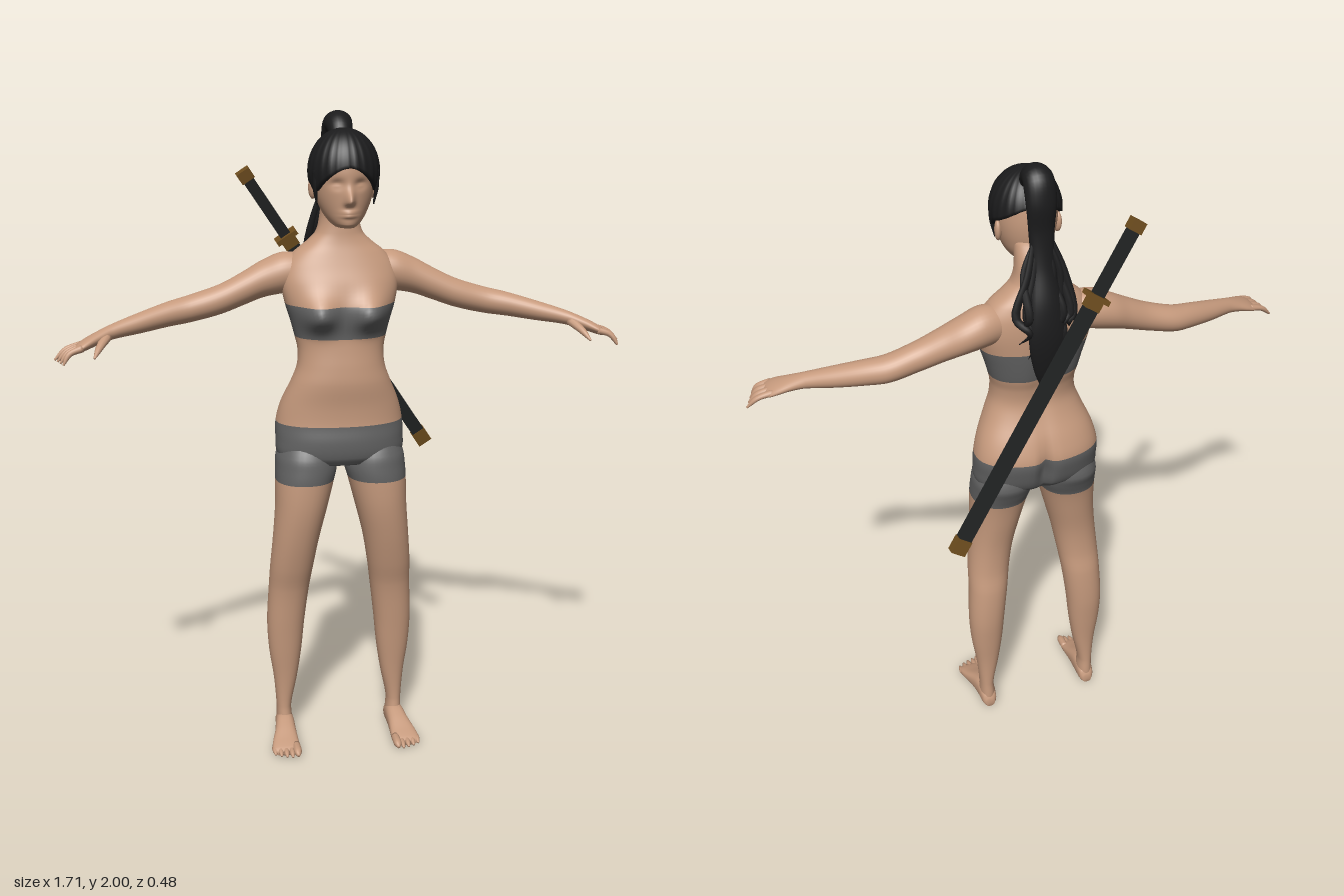
import * as THREE from 'three';

const V = (x, y, z) => new THREE.Vector3(x, y, z);
const mat = (name, color, side = THREE.FrontSide) => {
  const m = new THREE.MeshStandardMaterial({ color, side });
  m.name = name;
  return m;
};
const bump = (d, s) => Math.exp(-((d / s) ** 2));

// Smooth rows between keys; column 0 drives the curve and key rows stay exact
function smoothRows(keys, steps) {
  const rows = [];
  const slope = (i, c) => {
    const a = keys[Math.max(i - 1, 0)], b = keys[Math.min(i + 1, keys.length - 1)];
    return (b[c] - a[c]) / (b[0] - a[0]);
  };
  for (let i = 0; i < keys.length - 1; i++) {
    for (let k = 0; k < steps; k++) {
      const t = k / steps, a = keys[i], b = keys[i + 1], h = b[0] - a[0];
      rows.push(a.map((v, c) => c === 0 ? v + h * t :
        (2 * t ** 3 - 3 * t * t + 1) * v + (t ** 3 - 2 * t * t + t) * h * slope(i, c) +
        (3 * t * t - 2 * t ** 3) * b[c] + (t ** 3 - t * t) * h * slope(i + 1, c)));
    }
  }
  rows.push(keys[keys.length - 1]);
  return rows;
}

// Closed skin through rings of points; materialOf(row) gives an index per row
function loft(rings, materialOf) {
  const n = rings[0].length, last = rings.length - 1, pos = [], idx = [];
  rings.flat().forEach(p => pos.push(p.x, p.y, p.z));
  for (const r of [rings[0], rings[last]]) {
    const c = r.reduce((s, p) => s.add(p), V(0, 0, 0)).divideScalar(n);
    pos.push(c.x, c.y, c.z);
  }
  const c0 = rings.length * n, c1 = c0 + 1, g = new THREE.BufferGeometry();
  for (let k = 0; k < n; k++) idx.push(c0, (k + 1) % n, k);
  for (let j = 0; j < last; j++) {
    for (let k = 0; k < n; k++) {
      const a = j * n + k, b = j * n + (k + 1) % n;
      idx.push(a, b, a + n, b, b + n, a + n);
    }
  }
  for (let k = 0; k < n; k++) idx.push(c1, last * n + k, last * n + (k + 1) % n);
  if (materialOf) {
    g.addGroup(0, n * 3, materialOf(0));
    for (let j = 0; j < last; j++) g.addGroup(n * 3 + j * n * 6, n * 6, materialOf(j));
    g.addGroup(n * 3 + last * n * 6, n * 3, materialOf(last - 1));
  }
  // Turn faces outward when the enclosed volume is negative
  let vol = 0;
  const at = i => V(pos[i * 3], pos[i * 3 + 1], pos[i * 3 + 2]);
  for (let i = 0; i < idx.length; i += 3) vol += at(idx[i]).dot(at(idx[i + 1]).cross(at(idx[i + 2])));
  if (vol < 0) for (let i = 0; i < idx.length; i += 3) [idx[i], idx[i + 1]] = [idx[i + 1], idx[i]];
  g.setAttribute('position', new THREE.Float32BufferAttribute(pos, 3));
  g.setIndex(idx);
  g.computeVertexNormals();
  return g;
}

// Ring of n points from a rule on cosine and sine, slightly squared by e
const ring = (n, fn, e = 1) => Array.from({ length: n }, (_, k) => {
  const a = k / n * Math.PI * 2, c = Math.cos(a), s = Math.sin(a);
  return fn(Math.sign(c) * Math.abs(c) ** e, Math.sign(s) * Math.abs(s) ** e, a);
});

// Tapered tube: radii are [across, thick] pairs, spread evenly over the path
function sweep(points, radii, hint, steps = 24, n = 12) {
  const curve = new THREE.CatmullRomCurve3(points);
  const keys = radii.map((r, i) => [i / (radii.length - 1), ...r]);
  const rows = smoothRows(keys, Math.ceil(steps / (radii.length - 1)));
  return loft(rows.map(([t, ra, rb]) => {
    const p = curve.getPoint(t), T = curve.getTangent(t);
    const S = hint.clone().addScaledVector(T, -hint.dot(T)).normalize(), N = T.clone().cross(S);
    return ring(n, (c, s) => p.clone().addScaledVector(S, c * ra).addScaledVector(N, s * rb));
  }));
}

export function createModel() {
  const skin = mat('skin', 0xc69a7d), cloth = mat('greyCloth', 0x626262);
  const hair = mat('blackHair', 0x1b1b1c, THREE.DoubleSide);
  const lacquer = mat('blackLacquer', 0x202222), brass = mat('brass', 0x6e4d1e);
  const model = new THREE.Group();
  const add = (name, geo, m, parent = model) => {
    const mesh = new THREE.Mesh(geo, m);
    mesh.name = name;
    parent.add(mesh);
    return mesh;
  };

  // Torso and neck: y, half width, front z, back z
  const torso = smoothRows([
    [0.945, 0.165, 0.13, -0.05], [0.97, 0.196, 0.145, -0.075], [1.02, 0.2, 0.149, -0.092],
    [1.07, 0.198, 0.142, -0.098], [1.13, 0.183, 0.142, -0.08], [1.2, 0.153, 0.149, -0.048],
    [1.25, 0.135, 0.146, -0.033], [1.3, 0.132, 0.14, -0.036], [1.34, 0.14, 0.137, -0.047],
    [1.39, 0.153, 0.14, -0.055], [1.44, 0.168, 0.14, -0.06], [1.5, 0.178, 0.127, -0.063],
    [1.55, 0.168, 0.108, -0.06], [1.59, 0.138, 0.094, -0.052], [1.62, 0.1, 0.085, -0.043],
    [1.65, 0.071, 0.08, -0.034], [1.7, 0.059, 0.078, -0.026], [1.77, 0.056, 0.09, 0.01]], 5);
  add('torso', loft(torso.map(([y, rx, zf, zb]) => ring(72, (c, s) => {
    const x = rx * c;
    let z = (zf + zb) / 2 + s * (zf - zb) / 2;
    if (s > 0) z += s * 0.055 * bump(Math.abs(x) - 0.082, 0.05) * bump(y - 1.41, y > 1.41 ? 0.055 : 0.042);
    else z -= s * (0.03 * bump(x, 0.018) * bump(y - 1.03, 0.08) + 0.01 * bump(x, 0.03) * bump(y - 1.35, 0.15));
    return V(x, y, z);
  }, 0.88)), j => {
    const y = (torso[j][0] + torso[j + 1][0]) / 2;
    return y < 1.07 || (y > 1.34 && y < 1.44) ? 1 : 0;
  }), [skin, cloth]);

  // Limbs, mirrored
  for (const s of [1, -1]) {
    const side = s > 0 ? 'left' : 'right';
    // Leg: y, inner x, outer x, front z, back z
    const leg = smoothRows([
      [0.02, 0.16, 0.207, 0.05, -0.016], [0.05, 0.158, 0.208, 0.06, -0.016], [0.1, 0.16, 0.208, 0.055, -0.013],
      [0.2, 0.14, 0.216, 0.06, -0.016], [0.3, 0.125, 0.23, 0.07, -0.025], [0.4, 0.115, 0.235, 0.08, -0.032],
      [0.52, 0.1, 0.229, 0.094, -0.028], [0.6, 0.088, 0.225, 0.115, -0.016], [0.7, 0.07, 0.216, 0.137, -0.016],
      [0.8, 0.045, 0.208, 0.152, -0.03], [0.89, 0.022, 0.206, 0.155, -0.047], [0.93, 0.012, 0.204, 0.152, -0.062],
      [0.97, 0.015, 0.199, 0.144, -0.076], [1.03, 0.03, 0.17, 0.11, -0.06]], 4);
    add(side + 'Leg', loft(leg.map(([y, xi, xo, zf, zb]) => ring(36, (c, q) =>
      V(s * ((xi + xo) / 2 + c * (xo - xi) / 2), y, (zf + zb) / 2 + q * (zf - zb) / 2), 0.92)),
    j => (leg[j][0] + leg[j + 1][0]) / 2 > 0.89 ? 1 : 0), [skin, cloth]);

    // Foot: z, centre x, half width, top y
    const foot = smoothRows([[-0.02, 0.183, 0.015, 0.03], [-0.008, 0.183, 0.025, 0.055], [0.04, 0.184, 0.03, 0.075],
      [0.09, 0.188, 0.034, 0.062], [0.14, 0.194, 0.042, 0.04], [0.175, 0.196, 0.044, 0.026], [0.19, 0.196, 0.036, 0.018]], 4);
    add(side + 'Foot', loft(foot.map(([z, cx, w, top]) => ring(24, (c, q) =>
      V(s * (cx + c * w), top * (0.5 + 0.5 * q), z), 0.8))), skin);
    for (let i = 0; i < 5; i++) {
      const x = 0.163 + i * 0.0175, r = i ? 0.0085 : 0.013, tip = 0.222 - i * i * 0.0016;
      add(side + 'Toe', sweep([V(s * x, r + 0.006, 0.16), V(s * x, r + 0.004, tip - 0.02), V(s * x, r, tip)],
        [[r, r], [r, r], [r * 0.4, r * 0.4]], V(1, 0, 0), 10, 10), skin);
    }

    // Arm and palm: x, centre y, centre z, half height, half depth
    const arm = smoothRows([[0.1, 1.53, 0.015, 0.055, 0.05], [0.17, 1.527, 0.008, 0.062, 0.062], [0.23, 1.51, 0.006, 0.056, 0.058],
      [0.29, 1.484, 0.016, 0.05, 0.05], [0.36, 1.455, 0.025, 0.045, 0.045], [0.45, 1.43, 0.028, 0.041, 0.044],
      [0.52, 1.418, 0.048, 0.037, 0.041], [0.6, 1.402, 0.08, 0.031, 0.036], [0.68, 1.386, 0.115, 0.023, 0.029],
      [0.72, 1.374, 0.134, 0.02, 0.034], [0.76, 1.359, 0.153, 0.017, 0.043], [0.785, 1.348, 0.161, 0.013, 0.041],
      [0.795, 1.344, 0.163, 0.006, 0.034]], 5);
    add(side + 'Arm', loft(arm.map(([x, cy, cz, ry, rz]) => ring(32, (c, q) =>
      V(s * x, cy + q * ry, cz + c * rz)))), skin);
    for (let i = 0; i < 4; i++) {
      add(side + 'Finger', sweep([V(s * 0.77, 1.354, 0.129 + i * 0.021), V(s * (0.818 - i * 0.004), 1.341, 0.134 + i * 0.023),
        V(s * (0.852 - i * 0.009), 1.312, 0.14 + i * 0.025)],
      [[0.011, 0.011], [0.0095, 0.009], [0.008, 0.0075], [0.003, 0.003]], V(0, 0, 1), 12, 10), skin);
    }
    add(side + 'Thumb', sweep([V(s * 0.7, 1.376, 0.14), V(s * 0.722, 1.353, 0.188), V(s * 0.737, 1.33, 0.222)],
      [[0.016, 0.014], [0.013, 0.011], [0.009, 0.008], [0.003, 0.003]], V(1, 0, 0), 12, 10), skin);

    // Ear and short lock in front of it
    const ear = add(side + 'Ear', new THREE.SphereGeometry(1, 16, 12), skin);
    ear.scale.set(0.011, 0.032, 0.019);
    ear.position.set(s * 0.089, 1.785, 0.085);
    ear.rotation.y = -s * 0.3;
    add(side + 'SideLock', sweep([V(s * 0.088, 1.84, 0.14), V(s * 0.09, 1.79, 0.14), V(s * 0.083, 1.74, 0.135)],
      [[0.01, 0.02], [0.007, 0.014], [0.002, 0.002]], V(1, 0, 0), 12, 8), hair);
  }

  // Head with face modelled by bumps: y, half width, front z, back z
  const head = smoothRows([[1.678, 0.03, 0.19, 0.07], [1.69, 0.045, 0.2, 0.05], [1.72, 0.066, 0.202, 0.02],
    [1.76, 0.082, 0.204, 0.008], [1.8, 0.09, 0.206, 0.002], [1.84, 0.092, 0.208, 0.002],
    [1.88, 0.088, 0.2, 0.008], [1.92, 0.066, 0.17, 0.03], [1.94, 0.035, 0.14, 0.06]], 8);
  add('head', loft(head.map(([y, rx, zf, zb]) => ring(112, (c, s) => {
    const x = rx * c * (s > 0 ? 1 - 0.1 * s * s : 1), ax = Math.abs(x);
    let z = (zf + zb) / 2 + s * (zf - zb) / 2;
    if (s > 0) {
      z += 0.033 * bump(x, 0.013) * bump(y - 1.755, y < 1.755 ? 0.011 : 0.03);
      z -= 0.011 * bump(ax - 0.034, 0.018) * bump(y - 1.803, 0.013);
      z += 0.005 * bump(ax - 0.034, 0.012) * bump(y - 1.799, 0.006);
      z += 0.008 * bump(x, 0.022) * (bump(y - 1.724, 0.006) + bump(y - 1.713, 0.005));
    }
    return V(x, y, z);
  }))), skin);

  // Hair cap: swept back, low at the temples and high at the nape
  const cap = [];
  for (let j = 1; j <= 18; j++) {
    const t = Math.min(j / 17, 1), k = j > 17 ? 0.86 : 1;
    cap.push(ring(96, (c, s, a) => {
      const edge = 1.815 + (s > 0 ? 0.035 * s ** 6 : 0.06 * s * s) - 0.035 * bump(s - 0.35, 0.35);
      const phi = t * Math.acos((edge - 1.835) / 0.122);
      const r = k * Math.sin(phi) * (1 + 0.012 * Math.sin(a * 24));
      return V(0.105 * c * r, 1.835 + 0.122 * Math.cos(phi), 0.105 + 0.108 * s * r);
    }));
  }
  add('hairCap', loft(cap), hair);

  // Ponytail, rising from the crown and falling down the back
  add('ponytail', sweep([V(0, 1.91, 0.07), V(0, 1.955, 0.035), V(0, 1.962, -0.005), V(0, 1.91, -0.032),
    V(0, 1.82, -0.034), V(0, 1.72, -0.048), V(0, 1.6, -0.078), V(0, 1.5, -0.088), V(0, 1.4, -0.078), V(0, 1.31, -0.06)],
  [[0.03, 0.025], [0.038, 0.035], [0.044, 0.037], [0.045, 0.027], [0.038, 0.021], [0.036, 0.02],
    [0.05, 0.022], [0.056, 0.02], [0.038, 0.015], [0.004, 0.003]], V(1, 0, 0), 72, 24), hair);
  for (let i = 0; i < 12; i++) {
    const u = i / 11 * 2 - 1, wave = 0.01 * Math.sin(i * 2.7), end = 1.36 + 0.17 * Math.abs(u) + wave * 4;
    add('looseLock', sweep([V(u * 0.025, 1.8, -0.038), V(u * 0.06 + wave, 1.7, -0.055 + wave * 0.5),
      V(u * 0.08 - wave, 1.58, -0.083 - wave), V(u * 0.065 + wave, (1.58 + end) / 2, -0.092 + wave * 0.6),
      V(u * 0.07 - wave, end, -0.078 - wave)],
    [[0.006, 0.006], [0.011, 0.009], [0.013, 0.009], [0.009, 0.006], [0.001, 0.001]], V(1, 0, 0), 20, 8), hair);
  }

  // Sheathed sword slung across the back; local y runs from tip to pommel
  const tip = V(0.335, 0.905, -0.223), top = V(-0.28, 1.825, -0.064), L = top.distanceTo(tip);
  const sword = new THREE.Group();
  sword.name = 'sword';
  sword.position.copy(tip);
  sword.quaternion.setFromUnitVectors(V(0, 1, 0), top.clone().sub(tip).normalize());
  model.add(sword);
  const bar = (name, from, to, w, d, m) =>
    add(name, new THREE.BoxGeometry(w, to - from, d), m, sword).position.set(0, (from + to) / 2, 0);
  bar('scabbardTip', 0, 0.05, 0.048, 0.03, brass);
  bar('scabbard', 0.05, L - 0.285, 0.043, 0.026, lacquer);
  bar('scabbardMouth', L - 0.285, L - 0.255, 0.048, 0.03, brass);
  bar('guard', L - 0.255, L - 0.24, 0.072, 0.05, brass);
  bar('hilt', L - 0.24, L - 0.035, 0.034, 0.026, lacquer);
  bar('pommel', L - 0.035, L, 0.044, 0.032, brass);
  return model;
}
